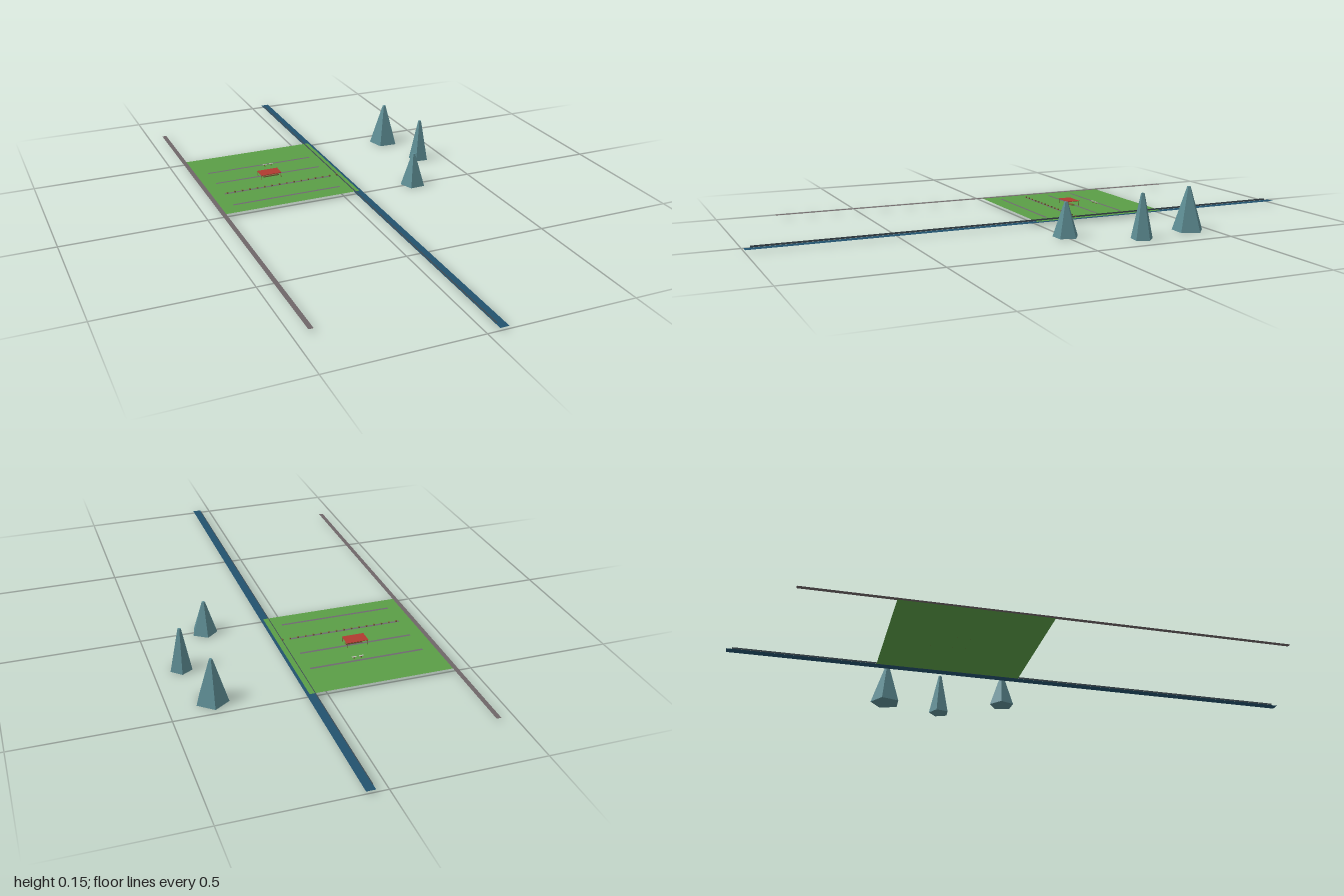
import * as THREE from 'three';

const paint = (color, extra = {}) => new THREE.MeshStandardMaterial({ color, ...extra });
const sheetPaint = (color) => paint(color, { side: THREE.DoubleSide });

export function createModel() {
  const model = new THREE.Group();

  const add = (name, geometry, material, x, y, z, parent = model) => {
    const mesh = new THREE.Mesh(geometry, material);
    mesh.name = name;
    mesh.position.set(x, y, z);
    parent.add(mesh);
    return mesh;
  };
  // Flat sheet lying on the ground
  const sheet = (name, w, d, color, x, y, z) =>
    add(name, new THREE.PlaneGeometry(w, d).rotateX(-Math.PI / 2), sheetPaint(color), x, y, z);
  const box = (name, w, h, d, material, x, y, z, parent) =>
    add(name, new THREE.BoxGeometry(w, h, d), material, x, y, z, parent);

  // Ground: field, road and river
  sheet('field', 0.5, 0.5, 0x5a9e46, -0.19, 0.0105, -0.25);
  sheet('road', 0.016, 1.6, 0x6f6668, -0.443, 0.011, 0);
  sheet('river', 0.03, 2, 0x22526e, 0.055, 0.009, 0);

  // Thin upright bank along the river
  add('riverBank', new THREE.PlaneGeometry(1.96, 0.006).rotateY(Math.PI / 2),
    sheetPaint(0x45525a), 0.042, 0.013, 0);

  // Paths across the field
  for (let i = 0; i < 4; i++) {
    sheet('fieldPath', 0.4, 0.009, 0x6f6870, -0.19, 0.0115, -0.36 + i * 0.1);
  }

  // Row of small posts
  const wood = paint(0x7d6a3a);
  for (let i = 0; i < 16; i++) {
    box('post', 0.005, 0.005, 0.005, wood, -0.38 + i * 0.028, 0.014, -0.16);
  }

  // Open shelter: red roof on four posts with a low bench
  const shelter = new THREE.Group();
  shelter.name = 'shelter';
  shelter.position.set(-0.19, 0, -0.25);
  model.add(shelter);
  box('roof', 0.078, 0.0015, 0.048, paint(0xb03a30), 0, 0.028, 0, shelter);
  for (const sx of [-1, 1]) {
    for (const sz of [-1, 1]) {
      box('shelterPost', 0.0015, 0.0175, 0.0015, wood, sx * 0.037, 0.019, sz * 0.022, shelter);
    }
  }
  box('bench', 0.06, 0.004, 0.012, wood, 0.005, 0.0135, 0, shelter);

  // Small pale tables behind the shelter
  for (const x of [-0.175, -0.15]) {
    box('table', 0.016, 0.001, 0.006, paint(0xb8b8b0), x, 0.018, -0.345);
    box('tableLeg', 0.003, 0.007, 0.003, wood, x, 0.014, -0.345);
  }

  // Five-sided trees: x, z, height, base radius, turn
  const foliage = paint(0x5d8c93, { flatShading: true });
  const trees = [
    [0.275, -0.003, 0.118, 0.045, 0.05],
    [0.357, -0.425, 0.152, 0.055, -0.05],
    [0.407, -0.215, 0.152, 0.038, -0.1],
  ];
  for (const [x, z, height, radius, turn] of trees) {
    const tree = add('tree', new THREE.CylinderGeometry(0.006, radius, height, 5), foliage, x, height / 2, z);
    tree.rotation.y = Math.PI + turn;
  }

  return model;
}
